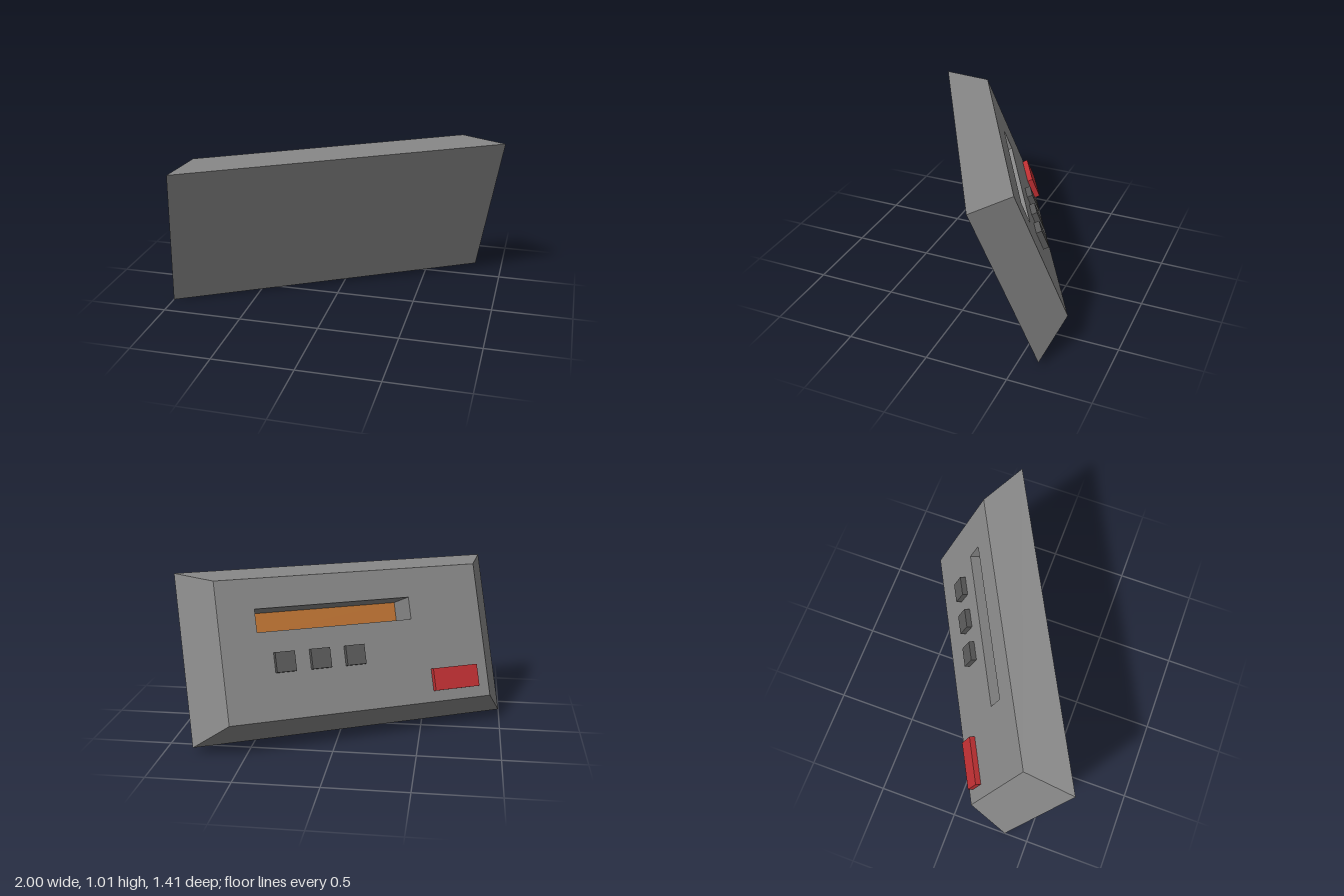
import * as THREE from 'three';

// Outer back size, smaller front panel size, depth (panel faces local +z)
const W = 2.07, H = 1.057, FW = 1.712, FH = 0.856, D = 0.245;
// Display window: centre, size and recess depth
const WIN = { x: -0.127, y: 0.174, w: 1.0, h: 0.14, deep: 0.235 };

const mat = (color) => new THREE.MeshStandardMaterial({ color, flatShading: true });
const grey = mat(0x888888), darkGrey = mat(0x595959), red = mat(0xc03033), orange = mat(0xbe7332);

function rect(path, x, y, w, h) {
  path.moveTo(x - w / 2, y - h / 2);
  path.lineTo(x + w / 2, y - h / 2);
  path.lineTo(x + w / 2, y + h / 2);
  path.lineTo(x - w / 2, y + h / 2);
  path.closePath();
  return path;
}

// Block with a window hole; its front rim is drawn in to slope the sides
function bodyGeometry() {
  const shape = rect(new THREE.Shape(), 0, 0, W, H);
  shape.holes.push(rect(new THREE.Path(), WIN.x, WIN.y, WIN.w, WIN.h));
  const geo = new THREE.ExtrudeGeometry(shape, { depth: D, bevelEnabled: false });
  const p = geo.attributes.position;
  for (let i = 0; i < p.count; i++) {
    const x = p.getX(i), y = p.getY(i);
    if (p.getZ(i) > D / 2 && Math.abs(x) > W / 2 - 0.01) {
      p.setXY(i, x * FW / W, y * FH / H);
    }
  }
  geo.computeVertexNormals();
  return geo;
}

export function createModel() {
  const root = new THREE.Group();
  root.name = 'controlPanel';
  const panel = new THREE.Group();
  panel.name = 'tiltedPanel';
  root.add(panel);

  const add = (name, geo, material, x, y, z) => {
    const mesh = new THREE.Mesh(geo, material);
    mesh.name = name;
    mesh.position.set(x, y, z);
    panel.add(mesh);
    return mesh;
  };

  add('housing', bodyGeometry(), grey, 0, 0, 0);

  // Display floor, and the piece closing the housing's back behind it
  const windowGeo = new THREE.PlaneGeometry(WIN.w, WIN.h);
  add('displayScreen', windowGeo, orange, WIN.x, WIN.y, D - WIN.deep);
  add('displayBack', windowGeo, grey, WIN.x, WIN.y, 0).rotation.y = Math.PI;

  // Row of three push buttons
  const buttonGeo = new THREE.BoxGeometry(0.122, 0.122, 0.07);
  for (let i = 0; i < 3; i++) {
    add('button' + (i + 1), buttonGeo, darkGrey, -0.48 + i * 0.223, -0.086, D);
  }
  add('powerButton', new THREE.BoxGeometry(0.305, 0.14, 0.07), red, 0.62, -0.29, D);

  // Lean the panel over, facing backwards
  const right = new THREE.Vector3(-1.82, -0.03, 0.97).normalize();
  const up = new THREE.Vector3(0.18, 0.98, 0.35);
  const out = right.clone().cross(up).normalize();
  up.crossVectors(out, right);
  panel.quaternion.setFromRotationMatrix(new THREE.Matrix4().makeBasis(right, up, out));
  panel.position.set(0, 0.506, 0.04);
  return root;
}
